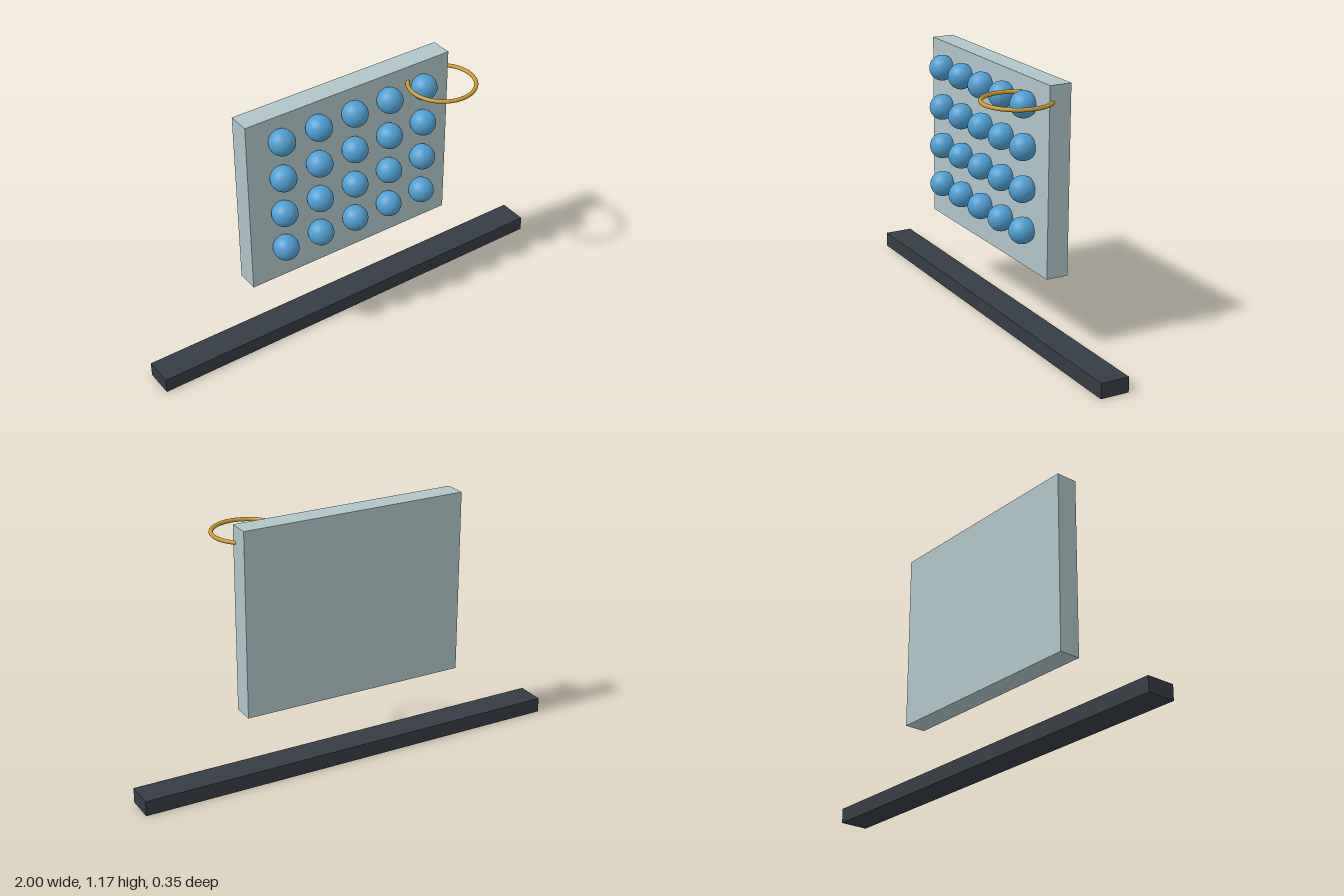
import * as THREE from 'three';

function material(name, color) {
  const m = new THREE.MeshStandardMaterial({ color });
  m.name = name;
  return m;
}

export function createModel() {
  const model = new THREE.Group();
  const panelGrey = material('pale grey', 0xb0c4c8);
  const ballBlue = material('blue', 0x4f9fd0);
  const barDark = material('charcoal', 0x363c44);
  const ringGold = material('gold', 0xc9982f);

  const add = (name, geometry, mat, x, y, z, parent = model) => {
    const mesh = new THREE.Mesh(geometry, mat);
    mesh.name = name;
    mesh.position.set(x, y, z);
    parent.add(mesh);
    return mesh;
  };

  // Long bar on the floor
  add('floorBar', new THREE.BoxGeometry(2, 0.068, 0.132), barDark, 0, 0.034, -0.109);

  // Upright panel floating above the bar
  add('panel', new THREE.BoxGeometry(1.04, 0.833, 0.1), panelGrey, 0, 0.752, -0.125);

  // Grid of balls half sunk into the panel front
  const balls = new THREE.Group();
  balls.name = 'balls';
  model.add(balls);
  const ball = new THREE.SphereGeometry(0.058, 32, 24);
  for (let row = 0; row < 4; row++) {
    for (let col = 0; col < 5; col++) {
      add('ball', ball, ballBlue, (col - 2) * 0.183, 0.511 + row * 0.183, -0.042, balls);
    }
  }

  // Horizontal ring passing through the upper corner of the panel
  const ring = add('ring', new THREE.TorusGeometry(0.148, 0.009, 16, 72), ringGold, 0.415, 1.094, 0.018);
  ring.rotation.x = Math.PI / 2;

  return model;
}
